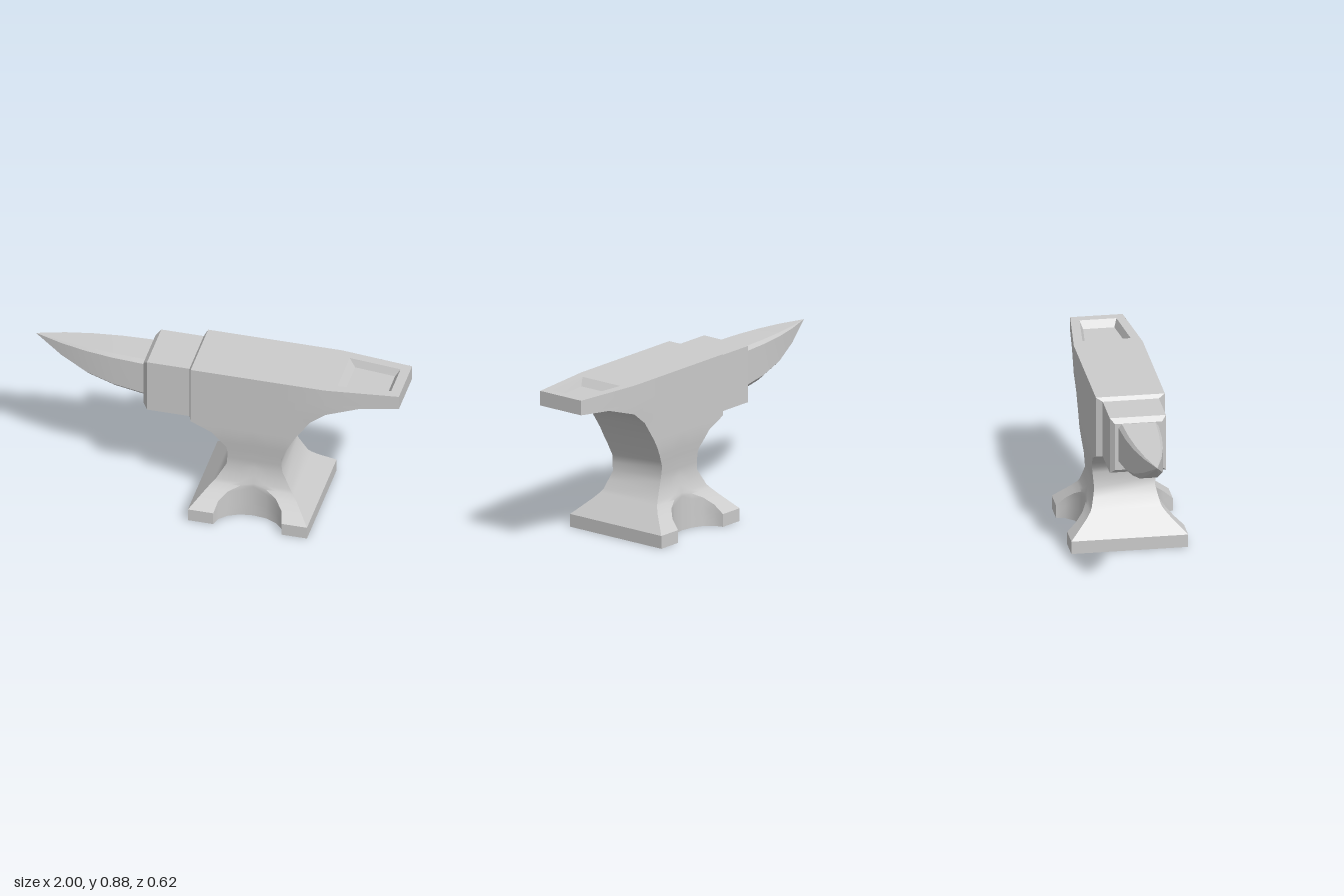
import * as THREE from 'three';
import { toCreasedNormals } from 'three/addons/utils/BufferGeometryUtils.js';

const material = new THREE.MeshStandardMaterial({ color: 0xcccccc, side: THREE.DoubleSide });
const SCALLOP_X = 0.225;

// Piecewise-linear lookup in a list of [key, value] pairs
function lookup(table, key) {
  for (let i = 1; i < table.length; i++) {
    const [k0, v0] = table[i - 1], [k1, v1] = table[i];
    if (key <= k1) return v0 + (v1 - v0) * (key - k0) / (k1 - k0);
  }
  return table[table.length - 1][1];
}

// Skin closed rings of [x, y, z] points, optionally capping the last ring
function loft(name, rings, { cap = false, crease = 0.7, flip = () => false } = {}) {
  const pos = [];
  const tri = (...pts) => pts.forEach((p) => pos.push(...p));
  for (let r = 0; r < rings.length - 1; r++) {
    const low = rings[r], high = rings[r + 1], n = low.length;
    for (let i = 0; i < n; i++) {
      const j = (i + 1) % n;
      const a = low[i], b = low[j], c = high[j], d = high[i];
      if (flip(a, b)) { tri(a, b, d); tri(b, c, d); } else { tri(a, b, c); tri(a, c, d); }
    }
  }
  if (cap) {
    const end = rings[rings.length - 1];
    for (let i = 1; i < end.length - 1; i++) tri(end[0], end[i], end[i + 1]);
  }
  const geometry = new THREE.BufferGeometry();
  geometry.setAttribute('position', new THREE.Float32BufferAttribute(pos, 3));
  return addName(new THREE.Mesh(toCreasedNormals(geometry, crease), material), name);
}

function addName(mesh, name) {
  mesh.name = name;
  return mesh;
}

// Body silhouette: left edge, right edge and half depth against height
const leftEdge = [[0, -0.097], [0.07, -0.097], [0.205, 0.022], [0.3, 0.077], [0.38, 0.08],
  [0.41, 0.075], [0.5, -0.003], [0.55, -0.115], [0.885, -0.115]];
const rightEdge = [[0, 0.547], [0.07, 0.547], [0.205, 0.425], [0.3, 0.373], [0.38, 0.37],
  [0.45, 0.4], [0.54, 0.447], [0.66, 0.53], [0.727, 0.615], [0.786, 0.797], [0.805, 1], [0.885, 1]];
const halfDepth = [[0, 0.31], [0.07, 0.31], [0.175, 0.2], [0.205, 0.183], [0.29, 0.161],
  [0.38, 0.169], [0.49, 0.183], [0.885, 0.183]];
const levels = [0, 0.07, 0.117, 0.156, 0.187, 0.205, 0.25, 0.295, 0.34, 0.38, 0.41, 0.45, 0.5,
  0.55, 0.6, 0.66, 0.727, 0.786, 0.805, 0.885];
const taper = (x) => (x > 0.61 ? 1 - 0.24 * (x - 0.61) / 0.39 : 1);

// Body: stacked outlines with a scallop cut into the foot, front and back
function makeBody() {
  const rings = levels.map((y) => {
    const x0 = lookup(leftEdge, y), x1 = lookup(rightEdge, y), w = lookup(halfDepth, y);
    const front = [[x0, y, w]];
    for (let k = 0; k <= 8; k++) {
      const t = Math.PI * k / 8;
      const x = THREE.MathUtils.clamp(SCALLOP_X - 0.185 * Math.cos(t), x0, x1);
      front.push([x, y, Math.min(w, 0.31 - 0.127 * Math.sin(t))]);
    }
    front.push([Math.min(0.61, x1), y, w], [x1, y, w]);
    // Columns past the scallop fold onto the edge and follow the heel's taper
    front.forEach((p) => { p[2] *= taper(p[0]); });
    const back = front.map(([x, yy, z]) => [x, yy, -z]).reverse();
    return [...front, ...back];
  });
  const inward = (a, b) => Math.abs(a[0] - SCALLOP_X) < Math.abs(b[0] - SCALLOP_X);
  return loft('body', rings, { flip: inward });
}

// Flat working face with the pocket opening
function makeFace() {
  const outline = [[-0.115, -0.183], [0.61, -0.183], [1, -0.139], [1, 0.139], [0.61, 0.183], [-0.115, 0.183]];
  const opening = [[0.665, -0.128], [0.665, 0.128], [0.948, 0.098], [0.948, -0.098]];
  const vectors = (pts) => pts.map(([x, y]) => new THREE.Vector2(x, y));
  const shape = new THREE.Shape(vectors(outline));
  shape.holes.push(new THREE.Path(vectors(opening)));
  const geometry = new THREE.ShapeGeometry(shape).rotateX(-Math.PI / 2).translate(0, 0.885, 0);
  return addName(new THREE.Mesh(geometry, material), 'workingFace');
}

// Sloped pocket walls and floor
function makePocket() {
  const ring = (y, x0, z0, x1, z1) => [[x0, y, z0], [x1, y, z1], [x1, y, -z1], [x0, y, -z0]];
  return loft('pocket', [
    ring(0.885, 0.665, 0.128, 0.948, 0.098),
    ring(0.845, 0.7, 0.108, 0.922, 0.083),
  ], { cap: true, crease: 0.2 });
}

// Step block between body and horn, bevelled at both ends
function makeStep() {
  const sections = [[-0.115, 0.55, 0.885, 0.183], [-0.13, 0.557, 0.865, 0.149],
    [-0.36, 0.557, 0.865, 0.149], [-0.385, 0.58, 0.84, 0.125]];
  const rings = sections.map(([x, y0, y1, z]) => [[x, y0, -z], [x, y0, z], [x, y1, z], [x, y1, -z]]);
  return loft('step', rings, { cap: true, crease: 0.2 });
}

// Horn: chamfered sections narrowing to the tip
function makeHorn() {
  // x, bottom, top, half width
  const sections = [[-0.38, 0.588, 0.838, 0.106], [-0.556, 0.615, 0.838, 0.096],
    [-0.706, 0.658, 0.837, 0.077], [-0.85, 0.733, 0.835, 0.047], [-1, 0.831, 0.831, 0]];
  const rings = sections.map(([x, y0, y1, z]) => {
    const h = y1 - y0;
    const half = [[0.6, y0], [1, y0 + 0.16 * h], [1, y1 - 0.085 * h], [0.84, y1]];
    const near = half.map(([s, y]) => [x, y, s * z]);
    const far = half.map(([s, y]) => [x, y, -s * z]).reverse();
    return [...near, ...far];
  });
  return loft('horn', rings, { crease: 0.5 });
}

export function createModel() {
  const anvil = new THREE.Group();
  anvil.name = 'anvil';
  anvil.add(makeBody(), makeFace(), makePocket(), makeStep(), makeHorn());
  return anvil;
}
